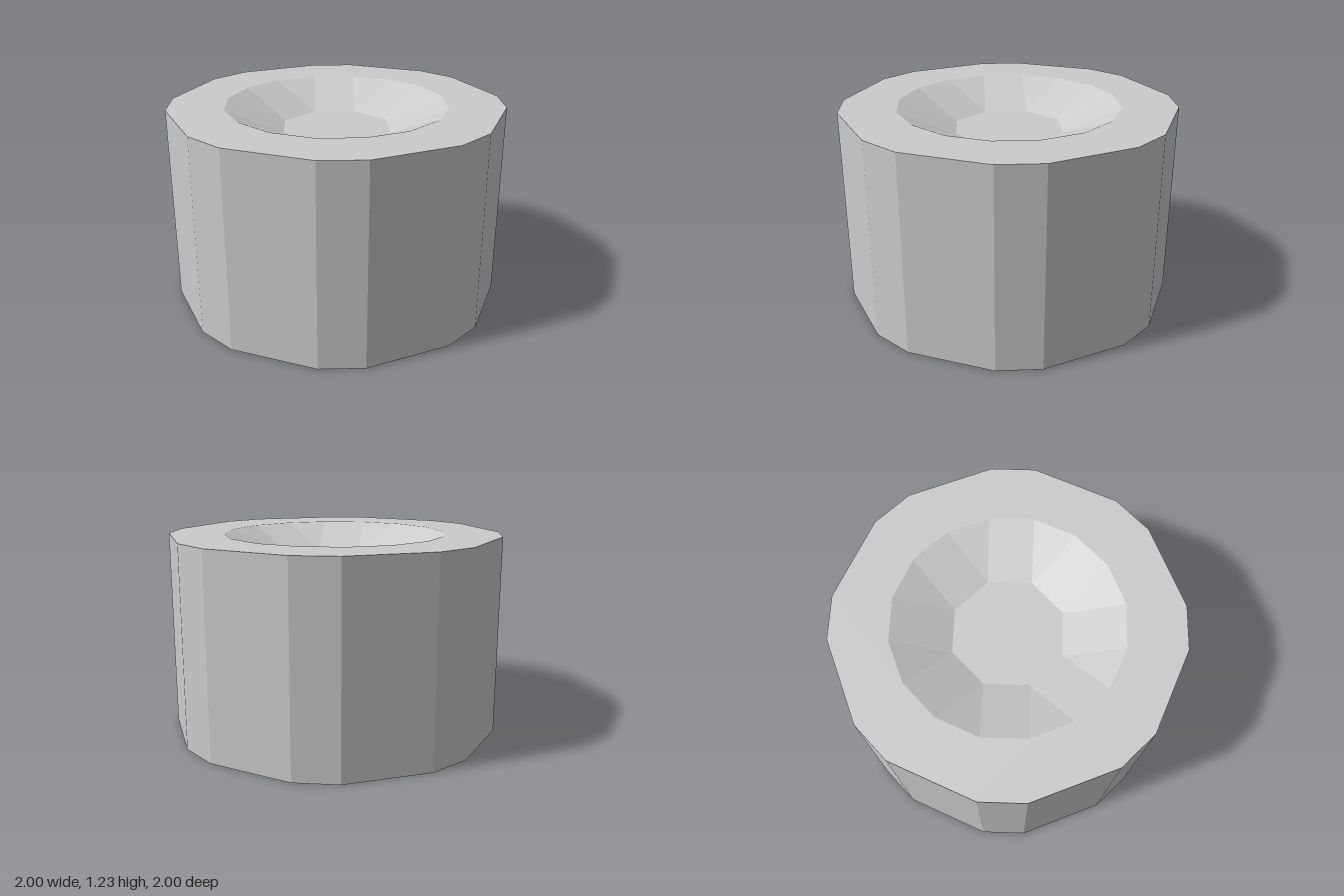
import * as THREE from 'three';

const HEIGHT = 1.23;
const OUTER_R = 1.035, RIM_R = 0.69, FLOOR_R = 0.35;

const point = (r, deg, y) => {
  const a = THREE.MathUtils.degToRad(deg);
  return new THREE.Vector3(r * Math.cos(a), y, r * Math.sin(a));
};

// Outer outline: a 24-sided ring with every third corner cut away
const outerAngles = [];
for (let a = 0; a < 360; a += 45) outerAngles.push(a + 15, a + 30);
const rimAngles = Array.from({ length: 16 }, (_, i) => 11.25 + i * 22.5);

const trace = (target, r, angles) => {
  angles.forEach((a, i) => {
    const p = point(r, a, 0);
    i ? target.lineTo(p.x, p.z) : target.moveTo(p.x, p.z);
  });
  target.closePath();
  return target;
};

const material = new THREE.MeshStandardMaterial({ color: 0xcccccc, flatShading: true });

function addMesh(group, name, geometry) {
  const mesh = new THREE.Mesh(geometry, material);
  mesh.name = name;
  group.add(mesh);
}

// Dish: 16-sided rim stepping down to an 8-sided floor, facing up (side 1) or down (side -1)
function dishGeometry(yRim, yFloor, side) {
  const pos = [];
  const tri = (a, b, c) => (side > 0 ? [a, b, c] : [a, c, b]).forEach(v => pos.push(v.x, v.y, v.z));
  const centre = new THREE.Vector3(0, yFloor, 0);
  for (let a = 0; a < 360; a += 45) {
    const f0 = point(FLOOR_R, a, yFloor), f1 = point(FLOOR_R, a + 45, yFloor);
    const r0 = point(RIM_R, a - 11.25, yRim);
    const r1 = point(RIM_R, a + 11.25, yRim);
    const r2 = point(RIM_R, a + 33.75, yRim);
    tri(f0, r1, r0);   // wedge meeting a floor corner
    tri(f0, f1, r2);   // sloped panel along a floor edge
    tri(f0, r2, r1);
    tri(centre, f1, f0);
  }
  const g = new THREE.BufferGeometry();
  g.setAttribute('position', new THREE.Float32BufferAttribute(pos, 3));
  g.computeVertexNormals();
  return g;
}

export function createModel() {
  const group = new THREE.Group();
  group.name = 'dishedBlock';

  // Body wall with flat top and bottom rings
  const shape = trace(new THREE.Shape(), OUTER_R, outerAngles);
  shape.holes.push(trace(new THREE.Path(), RIM_R, rimAngles));
  const ring = new THREE.ShapeGeometry(shape);
  addMesh(group, 'topRing', ring.clone().rotateX(-Math.PI / 2).translate(0, HEIGHT, 0));
  addMesh(group, 'bottomRing', ring.clone().rotateX(Math.PI / 2));

  const wall = [];
  outerAngles.forEach((a, i) => {
    const b = outerAngles[(i + 1) % outerAngles.length];
    const [a0, a1] = [point(OUTER_R, a, 0), point(OUTER_R, a, HEIGHT)];
    const [b0, b1] = [point(OUTER_R, b, 0), point(OUTER_R, b, HEIGHT)];
    for (const v of [a0, a1, b1, a0, b1, b0]) wall.push(v.x, v.y, v.z);
  });
  const wallGeometry = new THREE.BufferGeometry();
  wallGeometry.setAttribute('position', new THREE.Float32BufferAttribute(wall, 3));
  wallGeometry.computeVertexNormals();
  addMesh(group, 'outerWall', wallGeometry);

  // Recesses in both ends
  addMesh(group, 'topDish', dishGeometry(HEIGHT, HEIGHT - 0.15, 1));
  addMesh(group, 'bottomDish', dishGeometry(0, 0.2, -1));
  return group;
}
